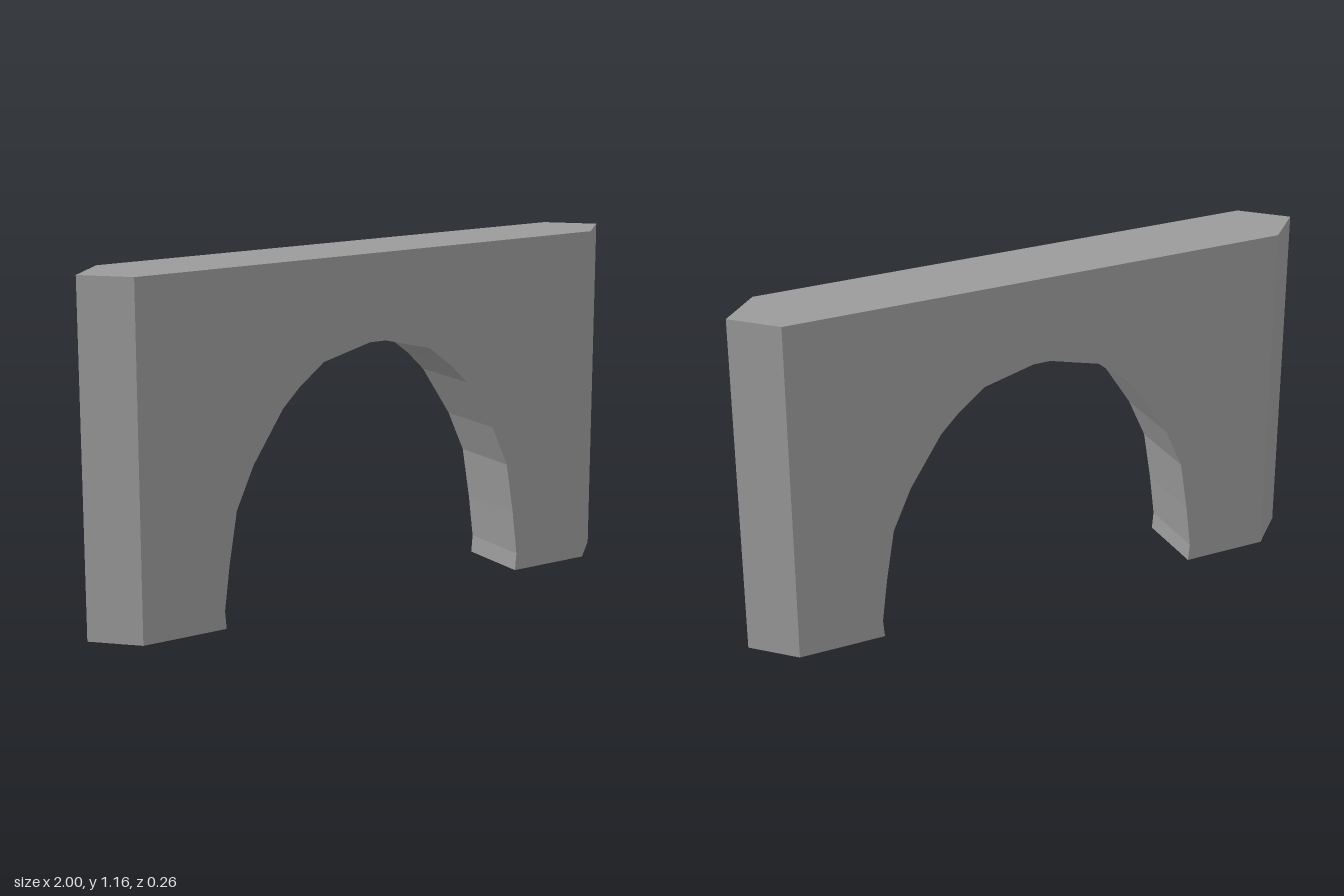
import * as THREE from 'three';

const H = 1.163, D = 0.13, W = 0.87;

export function createModel() {
  const group = new THREE.Group();
  group.name = 'archBlock';
  const material = new THREE.MeshStandardMaterial({ color: 0x9a9a9a, flatShading: true, side: THREE.DoubleSide });

  const add = (name, geometry) => {
    const mesh = new THREE.Mesh(geometry, material);
    mesh.name = name;
    group.add(mesh);
    return mesh;
  };

  // Flat-faced strip joining two rows of points
  const strip = (rowA, rowB) => {
    const pos = [];
    for (let i = 0; i < rowA.length - 1; i++) {
      const [a, b, c, d] = [rowA[i], rowA[i + 1], rowB[i + 1], rowB[i]];
      pos.push(...a, ...b, ...c, ...a, ...c, ...d);
    }
    const g = new THREE.BufferGeometry();
    g.setAttribute('position', new THREE.Float32BufferAttribute(pos, 3));
    g.computeVertexNormals();
    return g;
  };

  const polygon = (pts) => new THREE.ShapeGeometry(new THREE.Shape(pts.map(([x, y]) => new THREE.Vector2(x, y))));

  // Faceted arch opening, from the right foot over the crown to the left foot
  const half = [[0.573, 0], [0.578, 0.06], [0.559, 0.21], [0.53, 0.385], [0.467, 0.525],
    [0.357, 0.695], [0.295, 0.757], [0.205, 0.828], [0.03, 0.873]];
  const arch = [...half, ...half.map(([x, y]) => [-x, y]).reverse()];

  // Front and back walls
  const wall = polygon([[W, 0], [W, H], [-W, H], [-W, 0], ...[...arch].reverse()]);
  add('frontWall', wall).position.z = D;
  const back = add('backWall', wall);
  back.position.z = -D;
  back.rotation.y = Math.PI;

  // Underside of the arch
  add('archSoffit', strip(arch.map(([x, y]) => [x, y, D]), arch.map(([x, y]) => [x, y, -D])));

  // Pointed ends
  const plan = [[W, D], [1, 0], [W, -D]];
  const end = strip(plan.map(([x, z]) => [x, 0, z]), plan.map(([x, z]) => [x, H, z]));
  add('leftEnd', end);
  add('rightEnd', end).rotation.y = Math.PI;

  // Top face; the feet are open underneath
  const top = add('topFace', polygon([[W, -D], [1, 0], [W, D], [-W, D], [-1, 0], [-W, -D]]));
  top.rotation.x = -Math.PI / 2;
  top.position.y = H;

  return group;
}
